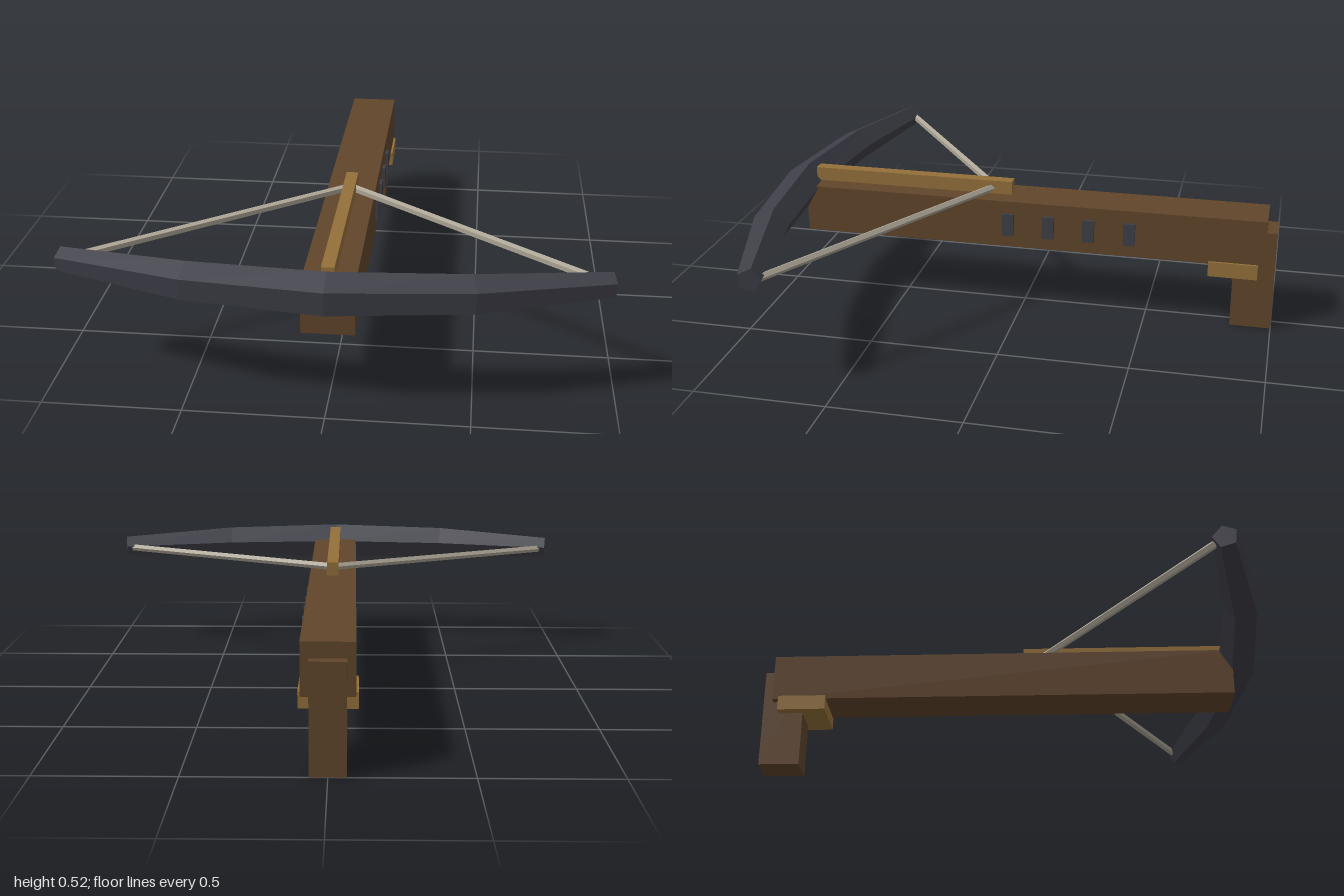
import * as THREE from 'three';

function material(name, color) {
  const m = new THREE.MeshStandardMaterial({ color });
  m.name = name;
  return m;
}

// Faceted limb lofted through five-sided sections, narrowing to both tips
function bowGeometry() {
  const sides = 5;
  const half = [
    { x: 0.962, z: 0.761, r: 0.045, lean: 0.2 },
    { x: 0.49, z: 0.879, r: 0.07, lean: 0.17 },
  ];
  const sections = [
    ...half.map((s) => ({ ...s, x: -s.x, lean: -s.lean })),
    { x: 0, z: 0.927, r: 0.078, lean: 0 },
    ...half.slice().reverse(),
  ];
  const pos = [];
  const index = [];
  for (const s of sections) {
    for (let i = 0; i < sides; i++) {
      const a = THREE.MathUtils.degToRad(102 - i * 72);
      const dz = s.r * Math.cos(a);
      pos.push(s.x + dz * s.lean, 0.445 + s.r * Math.sin(a), s.z + dz);
    }
  }
  for (let k = 0; k < sections.length - 1; k++) {
    for (let i = 0; i < sides; i++) {
      const a = k * sides + i;
      const b = k * sides + ((i + 1) % sides);
      index.push(a, b, a + sides, b, b + sides, a + sides);
    }
  }
  // End caps
  const last = (sections.length - 1) * sides;
  for (let i = 1; i < sides - 1; i++) {
    index.push(0, i + 1, i, last, last + i, last + i + 1);
  }
  const g = new THREE.BufferGeometry();
  g.setAttribute('position', new THREE.Float32BufferAttribute(pos, 3));
  g.setIndex(index);
  const flat = g.toNonIndexed();
  flat.computeVertexNormals();
  return flat;
}

export function createModel() {
  const group = new THREE.Group();
  group.name = 'crossbow';

  const wood = material('dark wood', 0x60452b);
  const trim = material('light wood', 0x94703a);
  const iron = material('dark iron', 0x3e3e48);
  const cord = material('cord', 0xaea797);

  const add = (name, geometry, mat) => {
    const mesh = new THREE.Mesh(geometry, mat);
    mesh.name = name;
    group.add(mesh);
    return mesh;
  };
  // Box given by its low and high limits on each axis
  const box = (name, mat, [x0, x1], [y0, y1], [z0, z1]) =>
    add(name, new THREE.BoxGeometry(x1 - x0, y1 - y0, z1 - z0), mat)
      .position.set((x0 + x1) / 2, (y0 + y1) / 2, (z0 + z1) / 2);

  // Wooden body
  box('stock', wood, [-0.094, 0.094], [0.27, 0.46], [-0.96, 0.89]);
  box('grip', wood, [-0.064, 0.064], [0, 0.403], [-1, -0.84]);
  box('gripCollar', trim, [-0.103, 0.103], [0.22, 0.28], [-0.935, -0.745]);
  box('boltRail', trim, [-0.023, 0.023], [0.462, 0.516], [0.05, 0.87]);

  // Row of iron plates on the left side
  for (let i = 0; i < 4; i++) {
    const z = 0.049 - i * 0.161;
    box('sidePlate', iron, [0.085, 0.106], [0.319, 0.41], [z - 0.023, z + 0.023]);
  }

  add('bow', bowGeometry(), iron);

  // Drawn string, one half per side
  for (const side of [-1, 1]) {
    const tip = new THREE.Vector3(side * 0.935, 0.442, 0.743);
    const nock = new THREE.Vector3(side * 0.012, 0.484, 0.13);
    const dir = nock.clone().sub(tip);
    const cylinder = new THREE.CylinderGeometry(0.015, 0.015, dir.length(), 5).toNonIndexed();
    cylinder.computeVertexNormals();
    const string = add('bowstring', cylinder, cord);
    string.position.copy(tip).add(nock).multiplyScalar(0.5);
    string.quaternion.setFromUnitVectors(new THREE.Vector3(0, 1, 0), dir.normalize());
  }

  return group;
}
